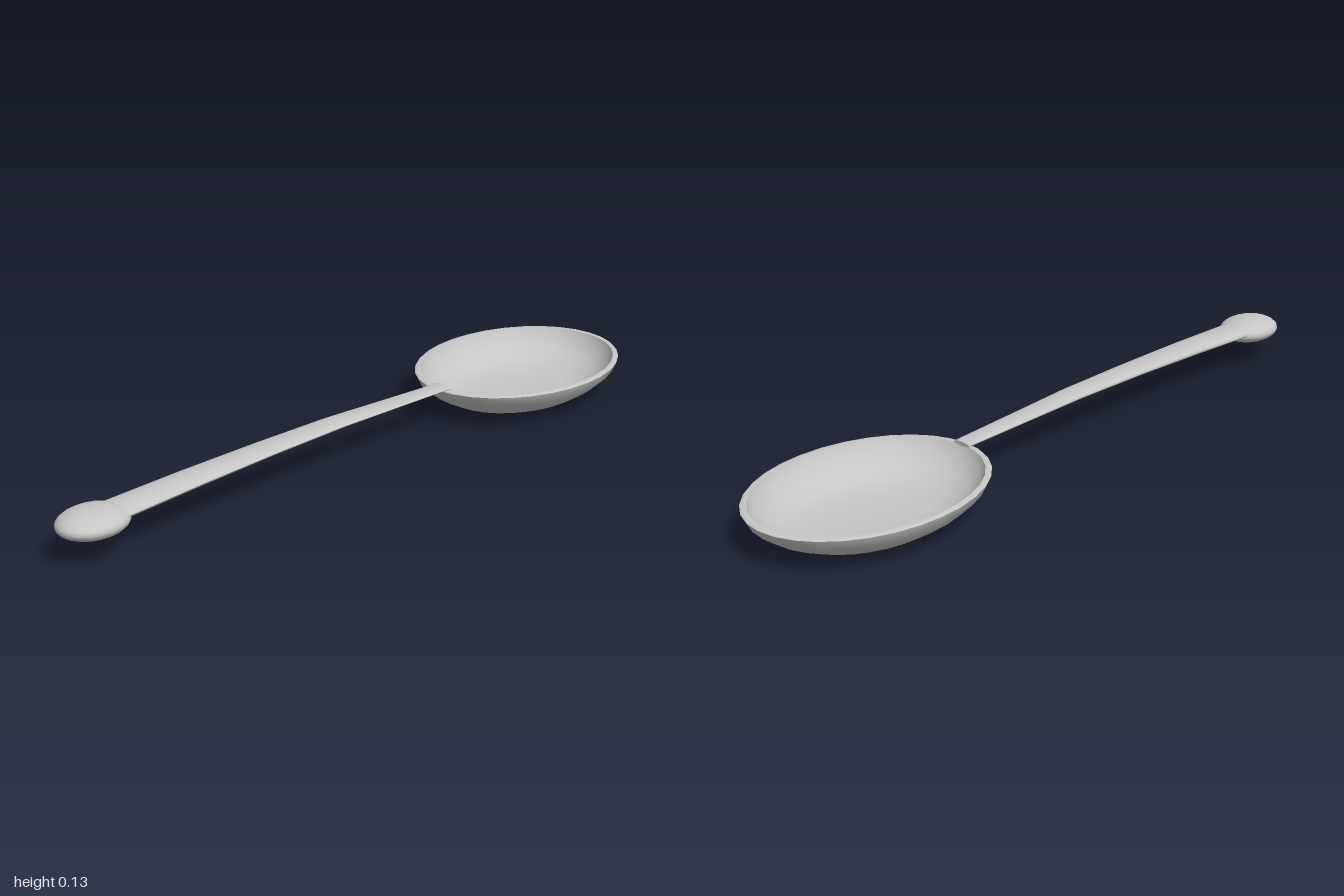
import * as THREE from 'three';

const metal = new THREE.MeshStandardMaterial({ color: 0xc6c6c6 });
metal.name = 'plain grey metal';

// Bowl profiles as [radius across z, height]; each is smooth, with a crease where they meet
const bowlProfiles = {
  bowlBase: [[0, 0], [0.126, 0]],
  bowlOutside: [[0.126, 0], [0.182, 0.02], [0.221, 0.046], [0.25, 0.075], [0.261, 0.102]],
  bowlRim: [[0.261, 0.102], [0.258, 0.106], [0.247, 0.106]],
  bowlInside: [[0.247, 0.106], [0.236, 0.077], [0.21, 0.05], [0.174, 0.028], [0.122, 0.013], [0, 0.012]],
};

// Handle stations: [x, centre height, half height, half width]
const stations = [
  [-0.86, 0.106, 0.017, 0.053],
  [-0.6, 0.115, 0.015, 0.048],
  [-0.35, 0.12, 0.012, 0.043],
  [-0.1, 0.121, 0.01, 0.038],
  [0.12, 0.115, 0.007, 0.033],
  [0.33, 0.109, 0.006, 0.028],
];

function handleGeometry() {
  const n = stations.length - 1;
  const g = new THREE.CylinderGeometry(1, 1, 1, 16, n);
  g.rotateZ(-Math.PI / 2);
  const p = g.attributes.position;
  for (let i = 0; i < p.count; i++) {
    const [x, y, h, w] = stations[Math.round((p.getX(i) + 0.5) * n)];
    p.setXYZ(i, x, y + p.getY(i) * h, p.getZ(i) * w);
  }
  g.computeVertexNormals();
  return g;
}

export function createModel() {
  const model = new THREE.Group();
  model.name = 'spoon';
  const add = (parent, name, geometry) => {
    const mesh = new THREE.Mesh(geometry, metal);
    mesh.name = name;
    parent.add(mesh);
    return mesh;
  };

  // Oval flat-bottomed bowl
  const bowl = new THREE.Group();
  bowl.name = 'bowl';
  for (const [name, points] of Object.entries(bowlProfiles)) {
    const g = new THREE.LatheGeometry(points.map(([r, y]) => new THREE.Vector2(r, y)), 32);
    g.scale(0.345 / 0.261, 1, 1);
    add(bowl, name, g);
  }
  bowl.position.x = 0.653;
  model.add(bowl);

  // Gently arched, tapering handle
  add(model, 'handle', handleGeometry());

  // Flattened knob at the end of the handle
  const knob = new THREE.SphereGeometry(1, 20, 12);
  knob.scale(0.098, 0.035, 0.081);
  add(model, 'knob', knob).position.set(-0.902, 0.099, 0);

  return model;
}
